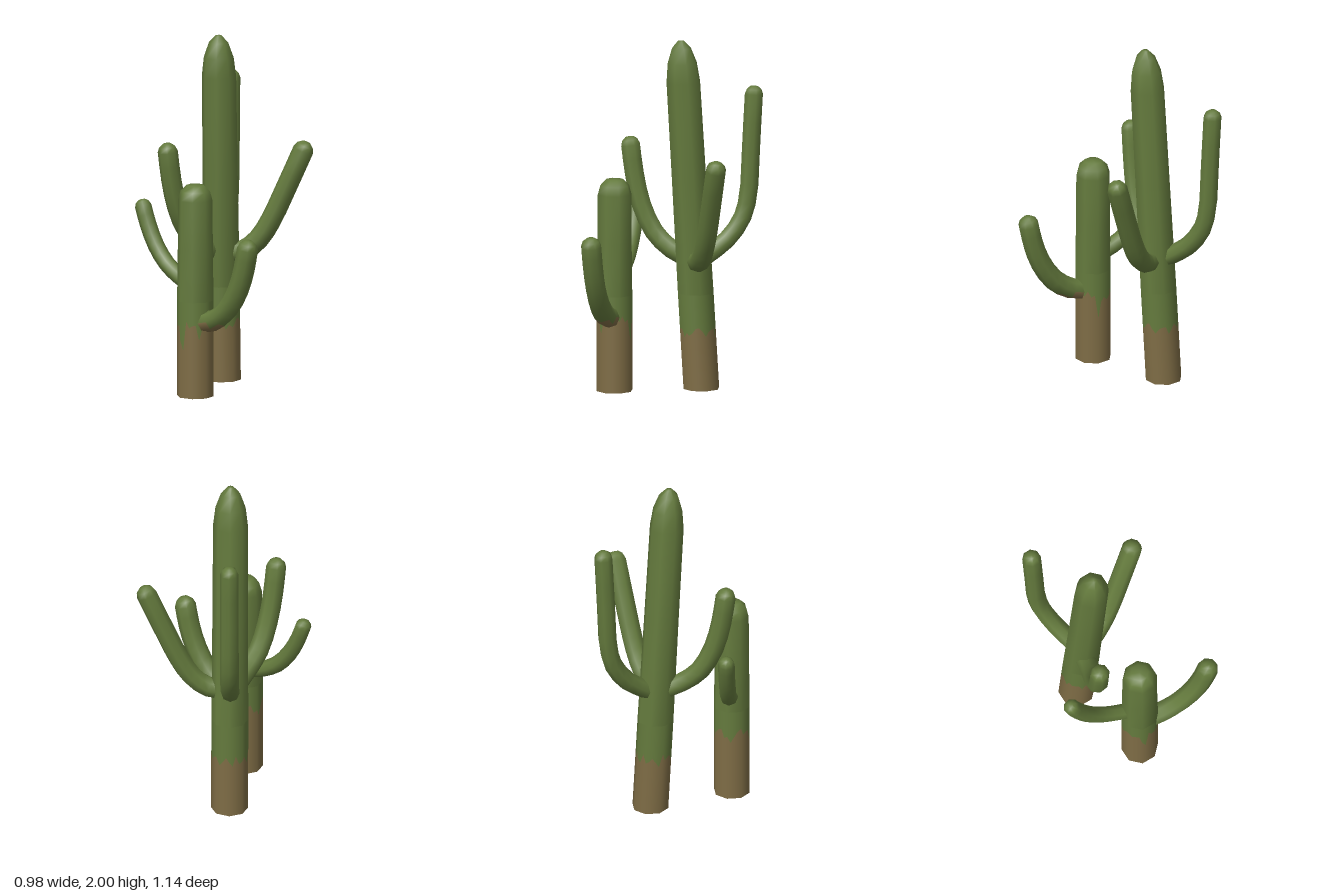
import * as THREE from 'three';

const SIDES = 8;
const SUB = 4; // columns per side along the ragged bark line

const green = new THREE.MeshStandardMaterial({ color: 0x647a3d });
green.name = 'cactus green';
const brown = new THREE.MeshStandardMaterial({ color: 0x7e6c45 });
brown.name = 'dry bark brown';

function geometryFrom(positions, greenFaces, brownFaces = []) {
  const g = new THREE.BufferGeometry();
  g.setAttribute('position', new THREE.Float32BufferAttribute(positions, 3));
  g.setIndex([...greenFaces, ...brownFaces]);
  g.addGroup(0, greenFaces.length, 0);
  g.addGroup(greenFaces.length, brownFaces.length, 1);
  g.computeVertexNormals();
  return g;
}

// Closed tube through rings {p, r}; u is the sideways axis of every ring.
// Faces whose centre lies under barkY become brown.
function sweep(rings, u, level = false, barkY = -1) {
  const pos = [], greenFaces = [], brownFaces = [];
  const up = new THREE.Vector3(0, 1, 0);
  rings.forEach(({ p, r }, i) => {
    const a = rings[Math.max(i - 1, 0)].p, b = rings[Math.min(i + 1, rings.length - 1)].p;
    const t = level ? up : b.clone().sub(a).normalize();
    const v = t.clone().cross(u);
    for (let k = 0; k < SIDES; k++) {
      const ang = (k / SIDES) * Math.PI * 2;
      const q = p.clone().addScaledVector(u, Math.cos(ang) * r).addScaledVector(v, Math.sin(ang) * r);
      pos.push(q.x, q.y, q.z);
    }
  });
  for (let i = 0; i < rings.length - 1; i++) {
    for (let k = 0; k < SIDES; k++) {
      const n = (k + 1) % SIDES;
      const [a, b, c, d] = [i * SIDES + k, i * SIDES + n, (i + 1) * SIDES + n, (i + 1) * SIDES + k];
      const y = (pos[a * 3 + 1] + pos[b * 3 + 1] + pos[c * 3 + 1] + pos[d * 3 + 1]) / 4;
      (y < barkY ? brownFaces : greenFaces).push(a, b, c, a, c, d);
    }
  }
  // tip
  const top = rings[rings.length - 1].p, first = (rings.length - 1) * SIDES;
  pos.push(top.x, top.y + 0.003, top.z);
  for (let k = 0; k < SIDES; k++) greenFaces.push(first + k, first + (k + 1) % SIDES, rings.length * SIDES);
  return geometryFrom(pos, greenFaces, brownFaces);
}

// Eight-sided band between two height functions, smoothly shaded
function band(axis, radius, low, high) {
  const n = SIDES * SUB, pos = [], nor = [], idx = [];
  for (const height of [low, high]) {
    for (let k = 0; k < n; k++) {
      const side = Math.floor(k / SUB), f = (k % SUB) / SUB;
      const a = (side / SIDES) * Math.PI * 2, b = ((side + 1) / SIDES) * Math.PI * 2;
      const cx = Math.cos(a) * (1 - f) + Math.cos(b) * f;
      const cz = -Math.sin(a) * (1 - f) - Math.sin(b) * f;
      const y = height(k), c = axis(y), len = Math.hypot(cx, cz);
      pos.push(c.x + cx * radius, y, c.z + cz * radius);
      nor.push(cx / len, 0, cz / len);
    }
  }
  for (let k = 0; k < n; k++) {
    const m = (k + 1) % n;
    idx.push(k, m, n + m, k, n + m, n + k);
  }
  const g = new THREE.BufferGeometry();
  g.setAttribute('position', new THREE.Float32BufferAttribute(pos, 3));
  g.setAttribute('normal', new THREE.Float32BufferAttribute(nor, 3));
  g.setIndex(idx);
  return g;
}

function add(group, name, geometry, material) {
  const mesh = new THREE.Mesh(geometry, material);
  mesh.name = name;
  group.add(mesh);
}

// Trunk: bark at the base, ragged bark line, green column with a domed top
function addTrunk(group, { base, top, radius, bark, drips, dome }) {
  const axis = (y) => base.clone().lerp(top, y / top.y);
  const ragged = (k) => bark + 0.022 * Math.sin(k * 2.1) + 0.015 * Math.sin(k * 0.9) - (drips[k] || 0);
  const seam = 0.55;
  add(group, 'barkBase', band(axis, radius, () => 0, ragged), brown);
  add(group, 'lowerTrunk', band(axis, radius, ragged, () => seam), green);
  const foot = new THREE.CircleGeometry(radius, SIDES).rotateX(Math.PI / 2);
  foot.translate(base.x, 0, base.z);
  add(group, 'trunkFoot', foot, brown);
  const rings = [[seam, radius], ...dome].map(([y, r]) => ({ p: axis(y), r }));
  add(group, 'upperTrunk', sweep(rings, new THREE.Vector3(1, 0, 0), true), green);
}

// Arm: upright curve lying in one vertical plane, rounded at its end
function addArm(group, name, points, radius, barkY) {
  const curve = new THREE.CatmullRomCurve3(points.map((p) => new THREE.Vector3(...p)));
  const start = curve.getPoint(0), end = curve.getPoint(1);
  const u = new THREE.Vector3(end.z - start.z, 0, start.x - end.x).normalize();
  const rings = [];
  for (let i = 0; i <= 10; i++) rings.push({ p: curve.getPoint(i / 10), r: radius });
  const t = curve.getTangent(1);
  for (const [d, r] of [[0.5, 0.8], [0.8, 0.42]]) {
    rings.push({ p: end.clone().addScaledVector(t, d * radius), r: r * radius });
  }
  add(group, name, sweep(rings, u, false, barkY), [green, brown]);
}

export function createModel() {
  const model = new THREE.Group();
  model.name = 'cactusPair';

  const tall = new THREE.Group();
  tall.name = 'tallCactus';
  addTrunk(tall, {
    base: new THREE.Vector3(-0.043, 0, -0.212),
    top: new THREE.Vector3(-0.046, 2, -0.093),
    radius: 0.104, bark: 0.34,
    drips: { 1: 0.06, 9: 0.05, 15: 0.06, 22: 0.05, 28: 0.04 },
    dome: [[1.2, 0.1], [1.76, 0.098], [1.87, 0.085], [1.955, 0.055], [1.995, 0.018]],
  });
  addArm(tall, 'backArm', [
    [-0.048, 0.7, -0.15], [-0.048, 0.78, -0.28], [-0.048, 0.86, -0.38], [-0.048, 0.97, -0.455],
    [-0.048, 1.1, -0.488], [-0.048, 1.4, -0.505], [-0.048, 1.67, -0.52]], 0.053);
  addArm(tall, 'leftArm', [
    [-0.04, 0.735, -0.165], [0.08, 0.75, -0.165], [0.17, 0.82, -0.165],
    [0.24, 0.93, -0.165], [0.31, 1.08, -0.165], [0.425, 1.34, -0.165]], 0.059);
  addArm(tall, 'frontArm', [
    [-0.06, 0.73, -0.17], [-0.13, 0.79, -0.06], [-0.2, 0.88, 0.02],
    [-0.25, 1.03, 0.08], [-0.28, 1.2, 0.112], [-0.297, 1.365, 0.13]], 0.057);
  model.add(tall);

  const short = new THREE.Group();
  short.name = 'shortCactus';
  addTrunk(short, {
    base: new THREE.Vector3(-0.115, 0, 0.275),
    top: new THREE.Vector3(-0.115, 1.215, 0.275),
    radius: 0.104, bark: 0.41,
    drips: { 4: 0.14, 7: 0.05, 13: 0.06, 20: 0.05, 21: 0.14, 26: 0.04 },
    dome: [[0.85, 0.1], [1.125, 0.098], [1.175, 0.084], [1.208, 0.05]],
  });
  addArm(short, 'rightArm', [
    [-0.12, 0.62, 0.265], [-0.21, 0.66, 0.205], [-0.3, 0.725, 0.145],
    [-0.37, 0.82, 0.1], [-0.42, 0.93, 0.066], [-0.452, 1.03, 0.045]], 0.047);
  addArm(short, 'leftArm', [
    [-0.1, 0.425, 0.285], [0, 0.45, 0.354], [0.09, 0.525, 0.415],
    [0.16, 0.65, 0.463], [0.2, 0.78, 0.49], [0.222, 0.9, 0.506]], 0.06, 0.44);
  model.add(short);

  return model;
}
